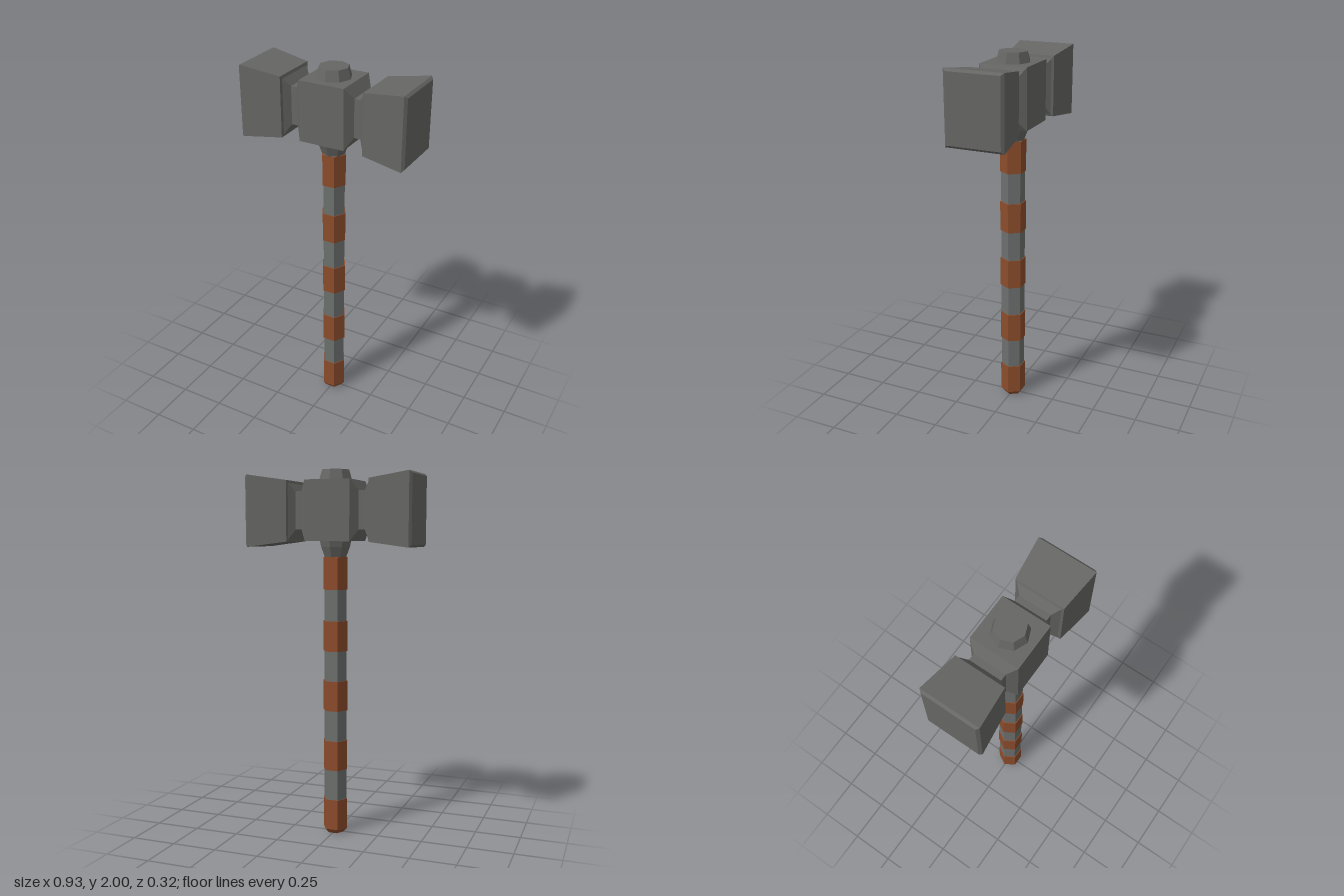
import * as THREE from 'three';

// Box-section loft along x; each section is [x, yLow, yHigh, halfDepth]
function loftX(sections) {
  const pos = [], idx = [];
  for (const [x, lo, hi, d] of sections) pos.push(x, lo, d, x, lo, -d, x, hi, -d, x, hi, d);
  const n = sections.length;
  for (let i = 0; i < n - 1; i++) {
    for (let k = 0; k < 4; k++) {
      const a = i * 4 + k, b = i * 4 + (k + 1) % 4;
      idx.push(a, b, b + 4, a, b + 4, a + 4);
    }
  }
  const e = (n - 1) * 4;
  idx.push(0, 2, 1, 0, 3, 2, e, e + 1, e + 2, e, e + 2, e + 3);
  const g = new THREE.BufferGeometry();
  g.setAttribute('position', new THREE.Float32BufferAttribute(pos, 3));
  g.setIndex(idx);
  const flat = g.toNonIndexed();
  flat.computeVertexNormals();
  return flat;
}

export function createModel() {
  const group = new THREE.Group();
  const material = (name, color) => {
    const m = new THREE.MeshStandardMaterial({ color, flatShading: true });
    m.name = name;
    return m;
  };
  const stone = material('dark stone', 0x666664);
  const grip = material('grey grip', 0x6c706d);
  const leather = material('brown leather', 0x8c4c2b);

  const add = (name, geometry, mat) => {
    const mesh = new THREE.Mesh(geometry, mat);
    mesh.name = name;
    group.add(mesh);
  };
  // Faceted frustum between two heights
  const frustum = (name, y0, y1, r0, r1, sides, turn, mat) => {
    const g = new THREE.CylinderGeometry(r1, r0, y1 - y0, sides);
    g.rotateY(turn);
    g.translate(0, (y0 + y1) / 2, 0);
    add(name, g, mat);
  };

  // Hammer head: flared ends, narrow necks and a central block
  const half = [
    [0.125, 1.625, 1.945, 0.131],
    [0.16, 1.685, 1.888, 0.087],
    [0.195, 1.685, 1.888, 0.087],
    [0.225, 1.635, 1.93, 0.12],
    [0.23, 1.622, 1.945, 0.133],
    [0.45, 1.594, 1.977, 0.158],
    [0.463, 1.607, 1.965, 0.144],
  ];
  const mirrored = half.map(([x, ...rest]) => [-x, ...rest]).reverse();
  add('hammerHead', loftX([...mirrored, ...half]), stone);

  // Octagonal cap and tapered socket
  frustum('topCap', 1.94, 2, 0.095, 0.078, 8, 0, stone);
  frustum('socketUpper', 1.595, 1.64, 0.083, 0.093, 8, 0, stone);
  frustum('socketLower', 1.535, 1.595, 0.06, 0.083, 8, 0, stone);

  // Hexagonal shaft with leather wraps
  const turn = Math.PI / 6;
  frustum('shaft', 0.1, 1.54, 0.065, 0.065, 6, turn, grip);
  frustum('pommel', 0, 0.025, 0.05, 0.07, 6, turn, leather);
  const wraps = [[0.025, 0.195], [0.365, 0.53], [0.7, 0.865], [1.03, 1.195], [1.365, 1.54]];
  for (const [y0, y1] of wraps) frustum('leatherWrap', y0, y1, 0.07, 0.07, 6, turn, leather);

  return group;
}
